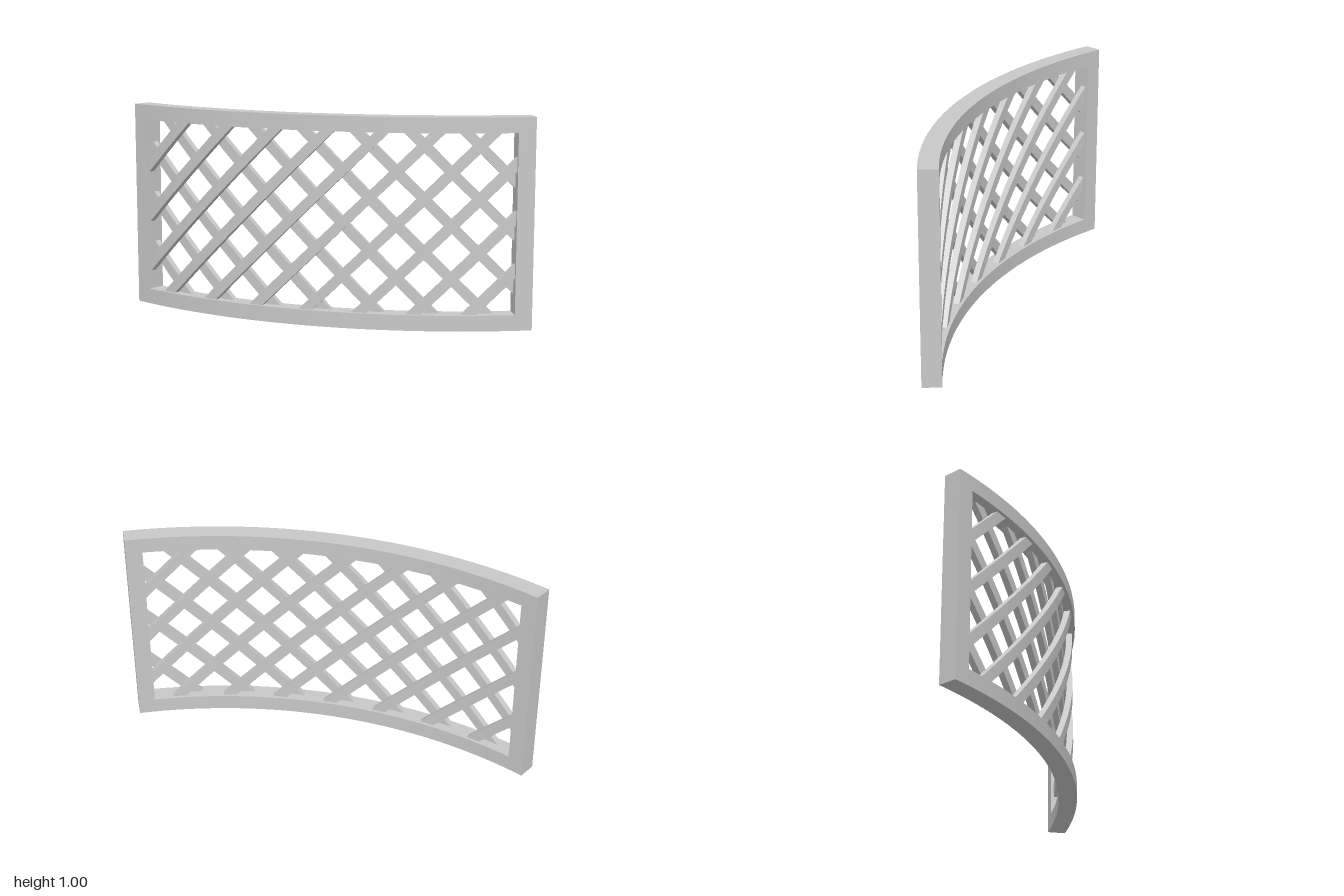
import * as THREE from 'three';
import { toCreasedNormals } from 'three/addons/utils/BufferGeometryUtils.js';

const R = 2.244;           // radius of the panel's middle surface
const CENTER_Z = -2.134;   // axis of the bend
const HALF = 0.452 * R;    // half arc length of the panel
const INNER = 0.416 * R;   // half arc length of the opening
const Y_LOW = 0.075, Y_HIGH = 0.927;
const DEPTH = 0.09;

// Wraps a flat geometry (x along the arc, z outwards) around the bend axis
function bend(geometry) {
  const p = geometry.attributes.position;
  for (let i = 0; i < p.count; i++) {
    const angle = p.getX(i) / R, r = R + p.getZ(i);
    p.setX(i, r * Math.sin(angle));
    p.setZ(i, r * Math.cos(angle) + CENTER_Z);
  }
  return toCreasedNormals(geometry, 0.5);
}

// Curved bar covering an arc range and a height range
function bar(s0, s1, y0, y1, segments) {
  const g = new THREE.BoxGeometry(s1 - s0, y1 - y0, DEPTH, segments, 1, 1);
  g.translate((s0 + s1) / 2, (y0 + y1) / 2, 0);
  return bend(g);
}

// Diagonal slat y = c + m * s, trimmed to the opening; null if it misses it
function slat(c, m, z) {
  const width = 0.048, thick = 0.03;
  const h = width / 2 * Math.hypot(1, m);
  const clampS = s => THREE.MathUtils.clamp(s, -INNER, INNER);
  const k = [Y_LOW - h, Y_LOW + h, Y_HIGH - h, Y_HIGH + h]
    .map(y => clampS((y - c) / m)).sort((a, b) => a - b);
  if (k[3] - k[0] < 0.08) return null;

  // Stations along the slat, with exact corners where it meets the rails
  const all = [k[0]];
  for (let i = 0; i <= 16; i++) all.push(THREE.MathUtils.lerp(k[1], k[2], i / 16));
  all.push(k[3]);
  const stations = all.filter((s, i) => i === 0 || s - all[i - 1] > 1e-5);

  const n = stations.length - 1;
  const g = new THREE.BoxGeometry(n, 2, thick, n, 1, 1);
  const p = g.attributes.position;
  for (let i = 0; i < p.count; i++) {
    const s = stations[Math.round(p.getX(i) + n / 2)];
    const y = c + m * s + Math.sign(p.getY(i)) * h;
    p.setXYZ(i, s, THREE.MathUtils.clamp(y, Y_LOW, Y_HIGH), p.getZ(i) + z);
  }
  return bend(g);
}

export function createModel() {
  const grey = new THREE.MeshStandardMaterial({ color: 0xc8c8c8 });
  grey.name = 'light grey';
  const model = new THREE.Group();
  model.name = 'curvedLatticePanel';
  const add = (parent, geometry, name) => {
    const mesh = new THREE.Mesh(geometry, grey);
    mesh.name = name;
    parent.add(mesh);
  };

  // Frame
  const frame = new THREE.Group();
  frame.name = 'frame';
  add(frame, bar(-HALF, HALF, 0, Y_LOW, 48), 'bottomRail');
  add(frame, bar(-HALF, HALF, Y_HIGH, 1, 48), 'topRail');
  add(frame, bar(INNER, HALF, Y_LOW, Y_HIGH, 2), 'leftPost');
  add(frame, bar(-HALF, -INNER, Y_LOW, Y_HIGH, 2), 'rightPost');
  model.add(frame);

  // Two layers of crossing slats, rising to opposite sides
  for (const side of [1, -1]) {
    const layer = new THREE.Group();
    layer.name = side > 0 ? 'frontSlats' : 'backSlats';
    for (let i = -8; i <= 12; i++) {
      const g = slat(0.115 + 0.25 * i, 0.98 * side, 0.015 * side);
      if (g) add(layer, g, 'slat');
    }
    model.add(layer);
  }
  return model;
}
